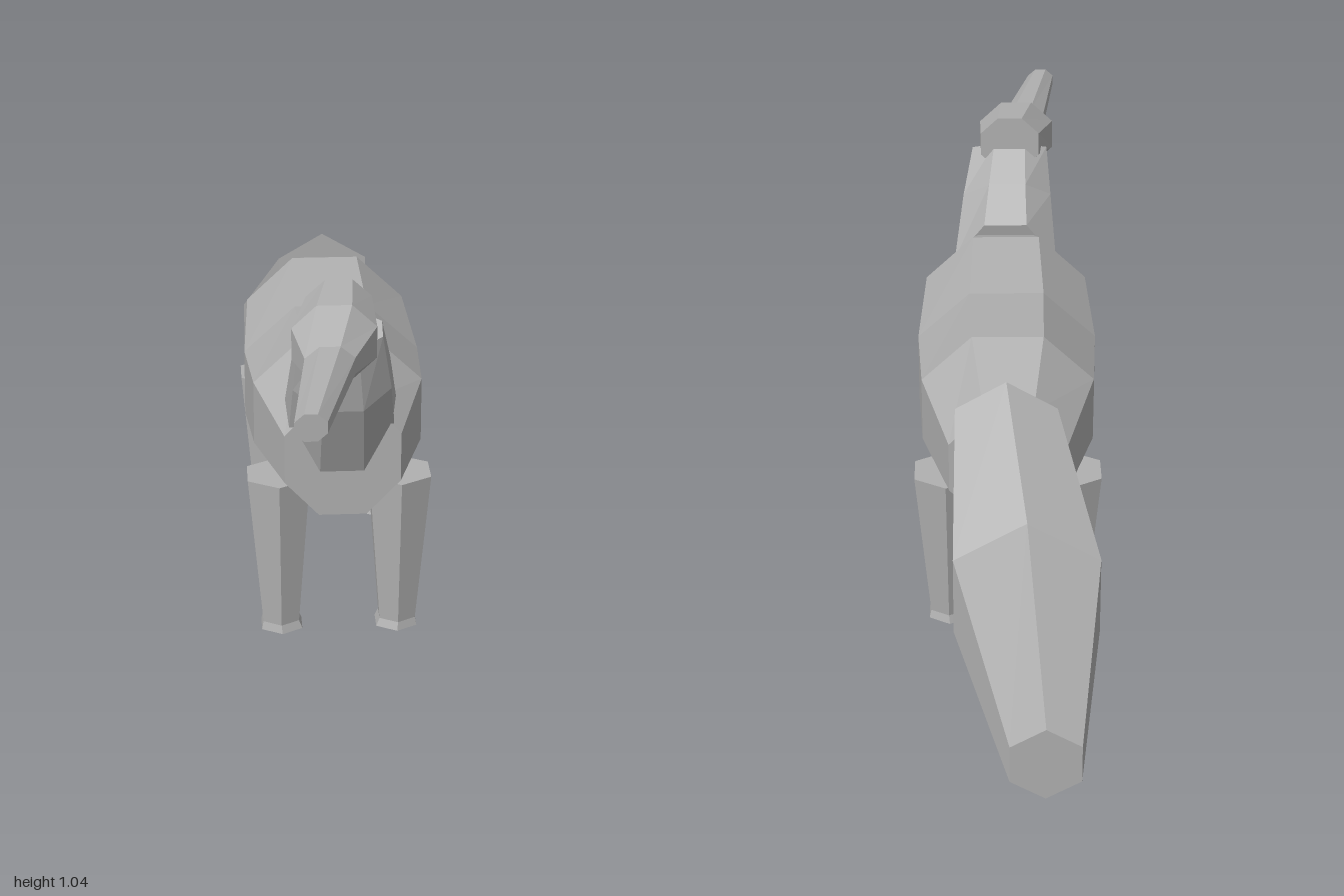
import * as THREE from 'three';

const grey = new THREE.MeshStandardMaterial({ color: 0xb0b0b0, flatShading: true });
grey.name = 'grey';

// Unit polygon whose extents are -1..1, with a flat (phase 0.5) or a corner (phase 0) on top
function polygon(sides, phase) {
  const pts = [];
  for (let i = 0; i < sides; i++) {
    const a = Math.PI / 2 + ((i + phase) / sides) * Math.PI * 2;
    pts.push([Math.cos(a), Math.sin(a)]);
  }
  const mx = Math.max(...pts.map(p => p[0])), my = Math.max(...pts.map(p => p[1]));
  return pts.map(([x, y]) => [x / mx, y / my]);
}

// Closed loft; each section is [centre x, half width, top y, top z, bottom y, bottom z]
function loft(name, outline, sections) {
  const n = outline.length, pos = [];
  const rings = sections.map(([cx, rx, ty, tz, by, bz]) => outline.map(([u, v]) => [
    cx + u * rx, (ty + by) / 2 + v * (ty - by) / 2, (tz + bz) / 2 + v * (tz - bz) / 2]));
  const tri = (a, b, c) => pos.push(...a, ...b, ...c);
  for (let s = 0; s < rings.length - 1; s++) {
    for (let i = 0; i < n; i++) {
      const j = (i + 1) % n, a = rings[s], b = rings[s + 1];
      tri(a[i], a[j], b[j]);
      tri(a[i], b[j], b[i]);
    }
  }
  const first = rings[0], last = rings[rings.length - 1];
  for (let i = 1; i < n - 1; i++) {
    tri(first[0], first[i + 1], first[i]);
    tri(last[0], last[i], last[i + 1]);
  }
  const g = new THREE.BufferGeometry();
  g.setAttribute('position', new THREE.Float32BufferAttribute(pos, 3));
  g.computeVertexNormals();
  const mesh = new THREE.Mesh(g, grey);
  mesh.name = name;
  return mesh;
}

// Section standing upright at one z
const upright = (z, cx, rx, top, bottom) => [cx, rx, top, z, bottom, z];

export function createModel() {
  const model = new THREE.Group();
  model.name = 'longSnoutedAnimal';
  const octagon = polygon(8, 0.5), hexagon = polygon(6, 0);

  // Barrel body, rump to chest
  model.add(loft('body', octagon, [
    upright(-0.555, 0, 0.135, 0.73, 0.443),
    upright(-0.34, 0, 0.2, 0.808, 0.43),
    upright(-0.06, 0, 0.215, 0.783, 0.385),
    upright(0.21, 0, 0.2, 0.808, 0.43),
    upright(0.41, 0, 0.135, 0.73, 0.443),
  ]));

  // Drooping tail, tip to root
  model.add(loft('tail', hexagon, [
    upright(-1, -0.078, 0.08, 0.187, 0),
    upright(-0.81, -0.038, 0.162, 0.595, 0.22),
    upright(-0.545, 0.005, 0.115, 0.8, 0.53),
  ]));

  // Neck, leaning forward out of the chest
  model.add(loft('neck', octagon, [
    [0, 0.13, 0.8, 0.3, 0.45, 0.365],
    [-0.005, 0.112, 0.88, 0.375, 0.74, 0.49],
    [-0.012, 0.095, 0.965, 0.44, 0.905, 0.52],
  ]));

  // Head and long snout, turned slightly aside
  model.add(loft('headAndSnout', octagon, [
    [-0.012, 0.074, 1.037, 0.435, 0.9, 0.43],
    upright(0.57, -0.03, 0.094, 1.028, 0.852),
    upright(0.665, -0.045, 0.055, 0.97, 0.88),
    upright(0.997, -0.103, 0.034, 0.96, 0.9),
  ]));

  // Four tapering legs with flared feet
  const leg = (name, side, topZ, footZ) => {
    const level = (y, x, z, r) => [side * x, r * 0.866, y, z + r, y, z - r];
    model.add(loft(name, hexagon, [
      level(0.478, 0.145, topZ, 0.085),
      level(0.095, 0.142, footZ, 0.05),
      level(0.075, 0.14, footZ, 0.057),
    ]));
  };
  for (const [label, side] of [['Left', 1], ['Right', -1]]) {
    leg('front' + label + 'Leg', side, 0.25, 0.26);
    leg('hind' + label + 'Leg', side, -0.38, -0.37);
  }
  return model;
}
